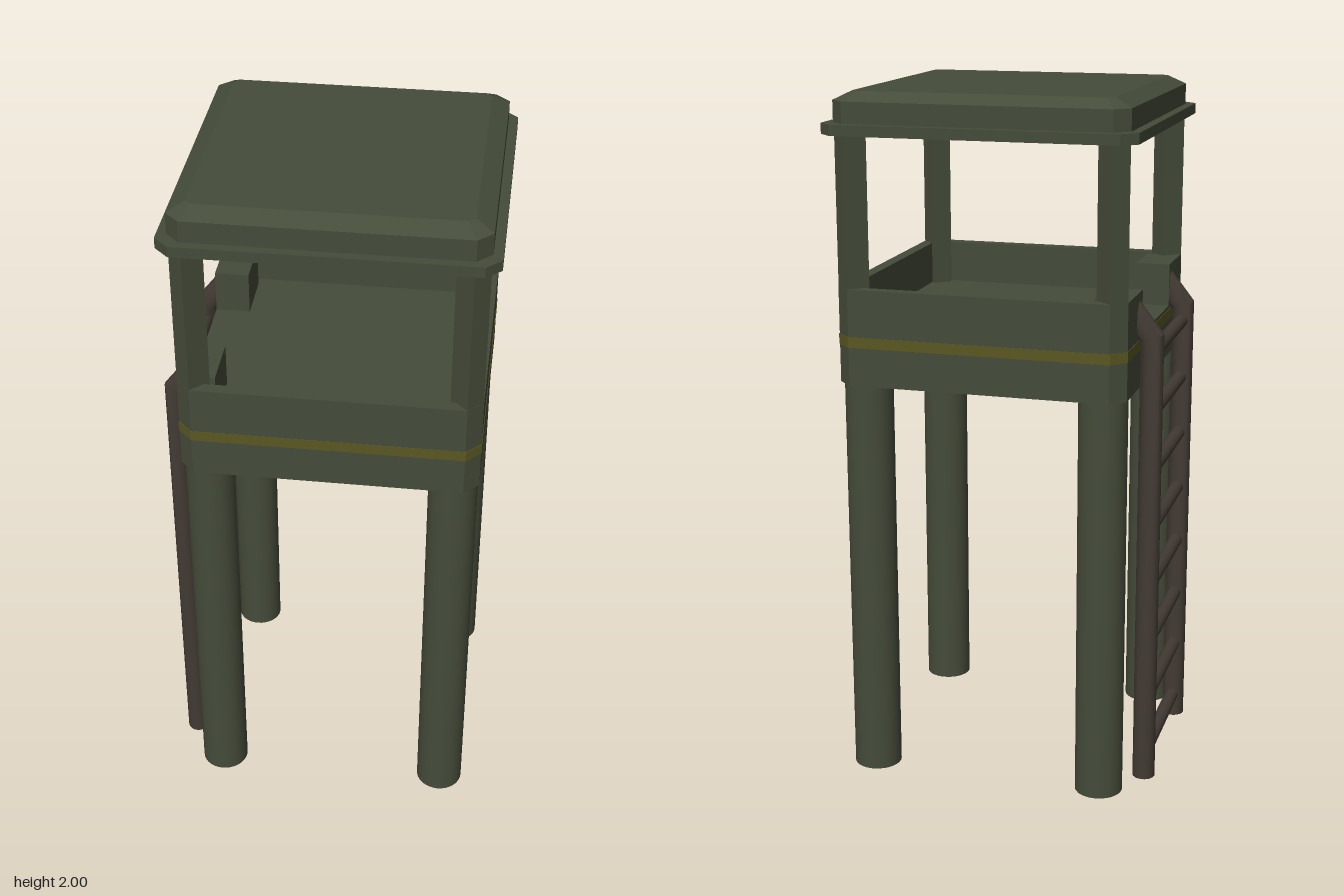
import * as THREE from 'three';
import { toCreasedNormals } from 'three/addons/utils/BufferGeometryUtils.js';
import { ConvexGeometry } from 'three/addons/geometries/ConvexGeometry.js';

const olive = new THREE.MeshStandardMaterial({ color: 0x454c3a });
const yellow = new THREE.MeshStandardMaterial({ color: 0x5a5722 });
const iron = new THREE.MeshStandardMaterial({ color: 0x423a33 });

const CX = 0.02;      // cabin centre in x
const HALF = 0.415;   // cabin half width
const FLOOR = 1.335;  // floor surface height
const WALL_TOP = 1.46;
const GAP = 0.19;     // half width of the ladder opening

// Square with cut corners, starting and ending on the -x side
function octagon(h, c) {
  const k = h - c;
  return [[-h, -k], [-k, -h], [k, -h], [h, -k], [h, k], [k, h], [-k, h], [-h, k]];
}

// Extrude a plan outline upwards from y0 to y1
function slab(points, y0, y1) {
  const shape = new THREE.Shape(points.map(([x, z]) => new THREE.Vector2(x, z)));
  const geo = new THREE.ExtrudeGeometry(shape, { depth: y1 - y0, bevelEnabled: false });
  return geo.rotateX(-Math.PI / 2).translate(0, y0, 0);
}

// Ladder rail: upright tube with a mitred bend leaning in towards the cabin
function railGeometry() {
  const r = 0.033, bendY = 1.334, lean = 0.663, length = 0.13;
  const geo = new THREE.CylinderGeometry(r, r, 2, 20, 2);
  const p = geo.attributes.position;
  for (let i = 0; i < p.count; i++) {
    const x = p.getX(i), ring = Math.round(p.getY(i));
    const mitreY = bendY - x * Math.tan(lean / 2);
    if (ring < 0) p.setY(i, 0);
    else if (ring === 0) p.setY(i, mitreY);
    else p.setXY(i, x + length * Math.sin(lean), mitreY + length * Math.cos(lean));
  }
  return toCreasedNormals(geo, 0.5);
}

export function createModel() {
  const model = new THREE.Group();
  const cabin = new THREE.Group();
  cabin.name = 'cabin';
  cabin.position.x = CX;
  const ladder = new THREE.Group();
  ladder.name = 'ladder';
  ladder.position.x = -0.432;
  model.add(cabin, ladder);

  function add(parent, name, geo, mat, x = 0, y = 0, z = 0) {
    const mesh = new THREE.Mesh(geo, mat);
    mesh.name = name;
    mesh.position.set(x, y, z);
    parent.add(mesh);
    return mesh;
  }

  // Floor and its painted band
  add(cabin, 'floorBase', slab(octagon(HALF, 0.041), 1.185, FLOOR), olive);
  add(cabin, 'stripe', slab(octagon(HALF + 0.0015, 0.041), 1.295, 1.325), yellow);

  // Parapet, open on the ladder side
  const inner = octagon(HALF - 0.035, 0.028).reverse();
  const t = HALF - 0.035;
  const outline = [
    [-HALF, -GAP], ...octagon(HALF, 0.041), [-HALF, GAP],
    [-t, GAP], ...inner, [-t, -GAP],
  ];
  add(cabin, 'parapet', slab(outline, FLOOR, WALL_TOP), olive);

  // Blocks on both sides of the opening
  for (const s of [-1, 1]) {
    const h = WALL_TOP - FLOOR;
    add(cabin, 'openingBlock', new THREE.BoxGeometry(0.1, h, 0.16), olive,
      -HALF + 0.0505, FLOOR + h / 2, s * (GAP + 0.08));
  }

  // Corner posts set diagonally, and round legs
  const postGeo = new THREE.BoxGeometry(0.058, 1.89 - FLOOR, 0.068);
  const legGeo = new THREE.CylinderGeometry(0.069, 0.069, 1.19, 32);
  for (const sx of [-1, 1]) {
    for (const sz of [-1, 1]) {
      const post = add(cabin, 'cornerPost', postGeo, olive,
        sx * 0.37, (1.89 + FLOOR) / 2, sz * 0.37);
      post.rotation.y = sx * sz * Math.PI / 4;
      add(cabin, 'leg', legGeo, olive, sx * 0.342, 0.595, sz * 0.342);
    }
  }

  // Roof: projecting rim and bevelled cap
  add(cabin, 'roofRim', slab(octagon(0.442, 0.041), 1.885, 1.915), olive);
  const capRings = [[0.416, 0.04, 1.91], [0.416, 0.04, 1.975], [0.367, 0.018, 2]];
  const capPoints = capRings.flatMap(([h, c, y]) =>
    octagon(h, c).map(([x, z]) => new THREE.Vector3(x, y, z)));
  add(cabin, 'roofCap', new ConvexGeometry(capPoints), olive);

  // Ladder
  const rail = railGeometry();
  for (const s of [-1, 1]) add(ladder, 'ladderRail', rail, iron, 0, 0, s * 0.226);
  const rungGeo = new THREE.CylinderGeometry(0.02, 0.02, 0.44, 16).rotateX(Math.PI / 2);
  for (let i = 0; i < 8; i++) add(ladder, 'rung', rungGeo, iron, 0, 0.071 + i * 0.174, 0);

  return model;
}
